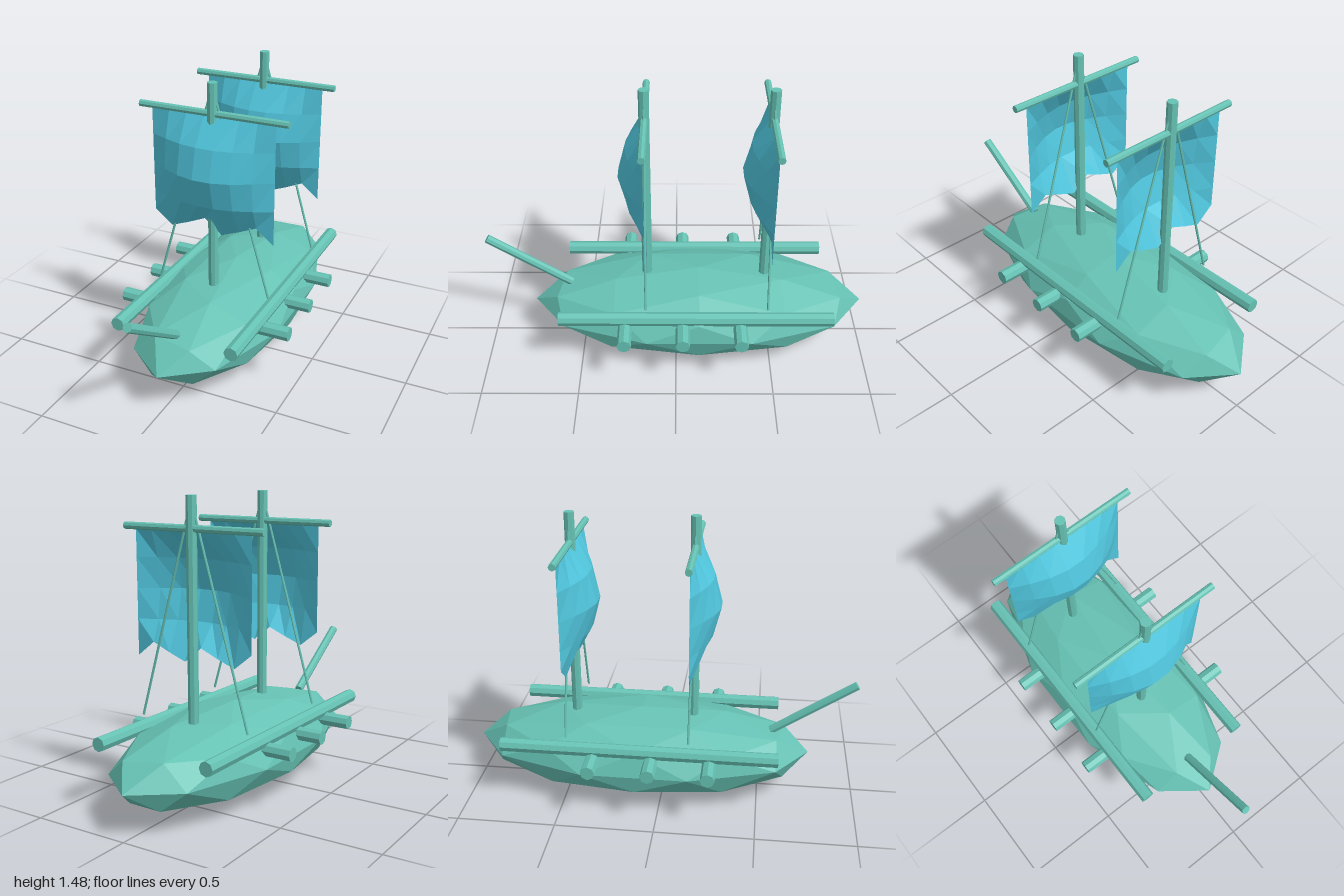
import * as THREE from 'three';

export function createModel() {
  const group = new THREE.Group();
  const wood = new THREE.MeshStandardMaterial({ color: 0x66c2b4, flatShading: true });
  const cloth = new THREE.MeshStandardMaterial({ color: 0x50c5dc, flatShading: true, side: THREE.DoubleSide });

  function add(name, geometry, material) {
    const mesh = new THREE.Mesh(geometry, material);
    mesh.name = name;
    group.add(mesh);
    return mesh;
  }

  // Round pole between two points
  function pole(name, a, b, radius, sides = 8) {
    const start = new THREE.Vector3(...a);
    const end = new THREE.Vector3(...b);
    const dir = end.clone().sub(start);
    const mesh = add(name, new THREE.CylinderGeometry(radius, radius, dir.length(), sides), wood);
    mesh.position.copy(start).add(end).multiplyScalar(0.5);
    mesh.quaternion.setFromUnitVectors(new THREE.Vector3(0, 1, 0), dir.normalize());
  }

  // Hull: faceted ball with a vertex at each pole, stretched lengthwise
  const hull = new THREE.IcosahedronGeometry(1, 1);
  hull.rotateX(-Math.atan2((1 + Math.sqrt(5)) / 2, 1));
  hull.rotateY(Math.PI / 2);
  hull.scale(0.38, 0.217, 0.88);
  hull.translate(0, 0.219, -0.12);
  add('hull', hull, wood);

  // Side rails and cross beams
  for (const x of [-0.305, 0.305]) pole('rail', [x, 0.338, -0.805], [x, 0.338, 0.6], 0.036);
  for (const z of [0.26, -0.035, -0.33]) pole('crossBeam', [-0.465, 0.295, z], [0.465, 0.295, z], 0.036);

  pole('bowsprit', [0, 0.34, 0.56], [0, 0.622, 0.985], 0.023);

  // Billowing sail with a ragged lower edge
  function sailGeometry() {
    const columns = 7, rows = 4;
    const geo = new THREE.PlaneGeometry(0.65, 1, columns, rows);
    const pos = geo.attributes.position;
    const ragged = [0.775, 0.7, 0.735];
    const rowHeights = [1.315, 1.18, 1.03, 0.88];
    for (let k = 0; k < pos.count; k++) {
      const i = k % (columns + 1);
      const j = Math.floor(k / (columns + 1));
      const y = j < rows ? rowHeights[j] : ragged[i % 3];
      const bulge = 0.137 * Math.sin(Math.PI * i / columns) * Math.sin(Math.PI * j / rows);
      pos.setXYZ(k, pos.getX(k), y, bulge);
    }
    geo.computeVertexNormals();
    return geo;
  }

  // Two identical sets of mast, yard, sail and stays
  for (const z of [0.153, -0.467]) {
    pole('mast', [0, 0.3, z], [0, 1.48, z], 0.026);
    pole('yard', [-0.39, 1.328, z], [0.39, 1.328, z], 0.018);
    add('sail', sailGeometry(), cloth).position.z = z;
    for (const side of [-1, 1]) pole('stay', [0, 1.46, z], [side * 0.305, 0.4, z], 0.006, 6);
  }

  return group;
}
